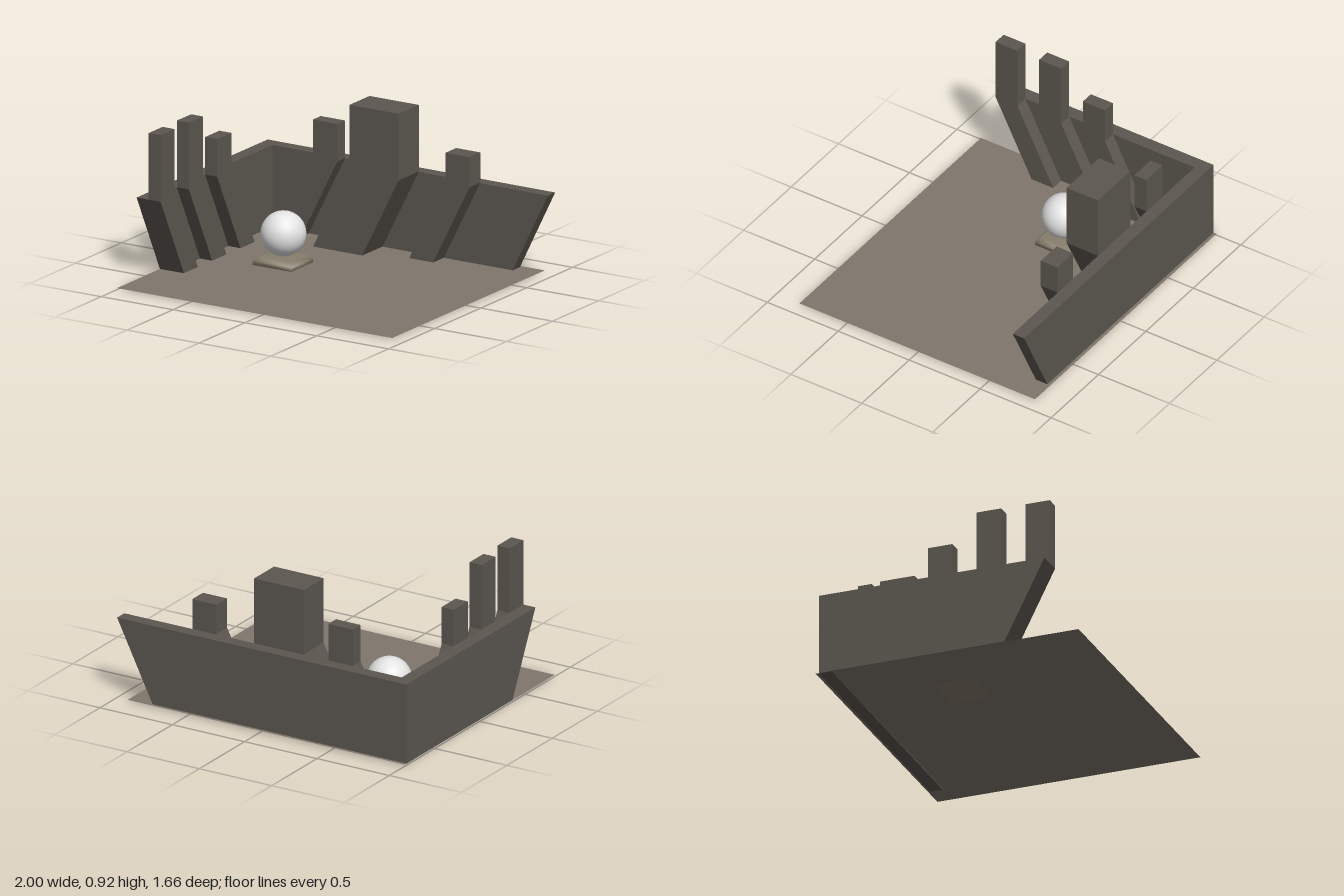
import * as THREE from 'three';

export function createModel() {
  const model = new THREE.Group();
  const material = (name, color, side = THREE.FrontSide) => {
    const m = new THREE.MeshStandardMaterial({ color, side });
    m.name = name;
    return m;
  };
  const stone = material('dark stone', 0x5c5750);
  const soil = material('ground brown', 0x80776c, THREE.DoubleSide);
  const sand = material('pedestal tan', 0x877e6c);
  const pearl = material('pale grey', 0xe4e4e4);

  const add = (name, geometry, mat, x = 0, y = 0, z = 0) => {
    const mesh = new THREE.Mesh(geometry, mat);
    mesh.name = name;
    mesh.position.set(x, y, z);
    model.add(mesh);
    return mesh;
  };
  const slab = (points, depth) => new THREE.ExtrudeGeometry(
    new THREE.Shape(points.map(([u, v]) => new THREE.Vector2(u, v))),
    { depth, bevelEnabled: false });

  const BASE = 0.011, BEND = 0.51, LEAN = 0.253;
  // Outline of a pillar that leans up to the wall top, then rises straight
  const pillar = (u0, u1, top) => [
    [u0 - LEAN, BASE], [u1 - LEAN, BASE], [u1, BEND], [u1, top], [u0, top], [u0, BEND]];

  // Ground sheet
  const ground = new THREE.PlaneGeometry(1.915, 1.66).rotateX(-Math.PI / 2);
  add('ground', ground, soil, -0.0425, 0.01, 0);

  // Back wall with a leaning free end
  add('backWall', slab([[-1, 0.009], [0.75, 0], [1, 0.505], [-1, BEND]], 0.08), stone, 0, 0, -0.81);

  // Side wall, its outline turned to run along z
  const sideways = (points, depth) => slab(points, depth).rotateY(-Math.PI / 2);
  add('sideWall', sideways([[-0.73, BASE], [0.362, BASE], [0.615, BEND], [-0.73, BEND]], 0.083),
    stone, -0.917, 0, 0);

  // Back pillars: left edge, right edge, top, depth
  [[-0.58, -0.41, 0.74, 0.085], [-0.24, 0.103, 0.917, 0.22], [0.363, 0.53, 0.695, 0.117]]
    .forEach(([a, b, top, depth], i) =>
      add('backPillar' + (i + 1), slab(pillar(a, b, top), depth), stone, 0, 0, -0.73));

  // Side pillars: rear edge, front edge, top
  [[-0.155, 0, 0.74], [0.153, 0.308, 0.917], [0.462, 0.615, 0.917]]
    .forEach(([a, b, top], i) =>
      add('sidePillar' + (i + 1), sideways(pillar(a, b, top), 0.084), stone, -0.833, 0, 0));

  // Softly shaded four-sided pedestal
  const profile = [[0, 0.002], [0.135, 0.006], [0.135, 0.036], [0.108, 0.057], [0, 0.058]]
    .map(([r, y]) => new THREE.Vector2(r * Math.SQRT2, y));
  const pedestal = add('pedestal', new THREE.LatheGeometry(profile, 4, Math.PI / 4), sand, -0.455, 0, -0.122);
  pedestal.scale.z = 0.88;

  // Ball
  add('ball', new THREE.SphereGeometry(0.135, 40, 28), pearl, -0.452, 0.195, -0.124);

  return model;
}
